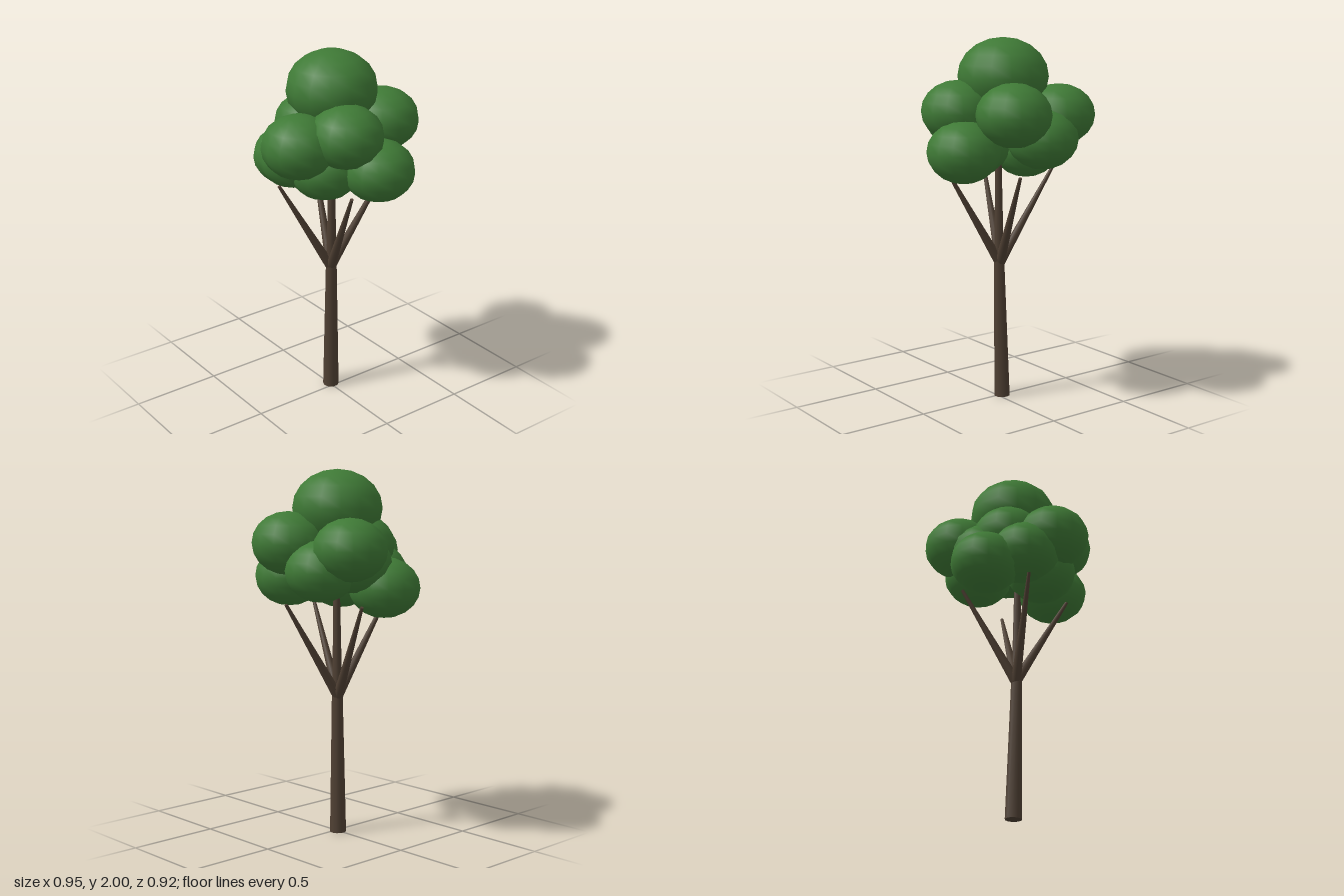
import * as THREE from 'three';

const bark = new THREE.MeshStandardMaterial({ color: 0x4f4033 });
const leaf = new THREE.MeshStandardMaterial({ color: 0x3f7a36 });

// Tapered round limb running from point a to point b
function limb(name, a, b, rBottom, rTop) {
  const from = new THREE.Vector3(...a);
  const dir = new THREE.Vector3(...b).sub(from);
  const mesh = new THREE.Mesh(new THREE.CylinderGeometry(rTop, rBottom, dir.length(), 10), bark);
  mesh.name = name;
  mesh.position.copy(from).addScaledVector(dir, 0.5);
  mesh.quaternion.setFromUnitVectors(new THREE.Vector3(0, 1, 0), dir.normalize());
  return mesh;
}

export function createModel() {
  const tree = new THREE.Group();
  tree.name = 'tree';

  // Trunk and its central leader
  tree.add(limb('trunk', [-0.025, 0, -0.008], [-0.01, 0.78, 0], 0.045, 0.03));
  tree.add(limb('leader', [-0.01, 0.76, 0], [-0.005, 1.36, 0], 0.028, 0.018));

  // Four branches fanning out a quarter turn apart
  const branches = new THREE.Group();
  branches.name = 'branches';
  for (let i = 0; i < 4; i++) {
    const a = 0.3 + i * Math.PI / 2;
    const tip = [-0.015 + 0.3 * Math.cos(a), 1.285, -0.01 + 0.3 * Math.sin(a)];
    branches.add(limb('branch', [-0.015, 0.765, 0], tip, 0.028, 0.009));
  }
  tree.add(branches);

  // Crown of slightly flattened leaf clumps: x, y, z, radius
  const clumps = [
    [-0.025, 1.793, -0.015, 0.245],
    // upper ring
    [-0.285, 1.585, -0.17, 0.197],
    [0.09, 1.61, -0.262, 0.2],
    [0.212, 1.612, 0.07, 0.197],
    [0.062, 1.555, 0.26, 0.2],
    [-0.105, 1.6, 0.065, 0.197],
    [-0.205, 1.51, -0.05, 0.192],
    // lower ring
    [-0.127, 1.47, -0.228, 0.193],
    [0.284, 1.415, -0.085, 0.195],
    [0.08, 1.405, 0.11, 0.193],
    [-0.078, 1.445, 0.197, 0.193],
    [-0.27, 1.375, 0.098, 0.193],
  ];
  const ball = new THREE.SphereGeometry(1, 14, 10).rotateY(Math.PI / 2);
  const crown = new THREE.Group();
  crown.name = 'crown';
  for (const [x, y, z, r] of clumps) {
    const clump = new THREE.Mesh(ball, leaf);
    clump.name = 'leafClump';
    clump.position.set(x, y, z);
    clump.scale.set(r, r * 0.845, r);
    crown.add(clump);
  }
  tree.add(crown);
  return tree;
}
